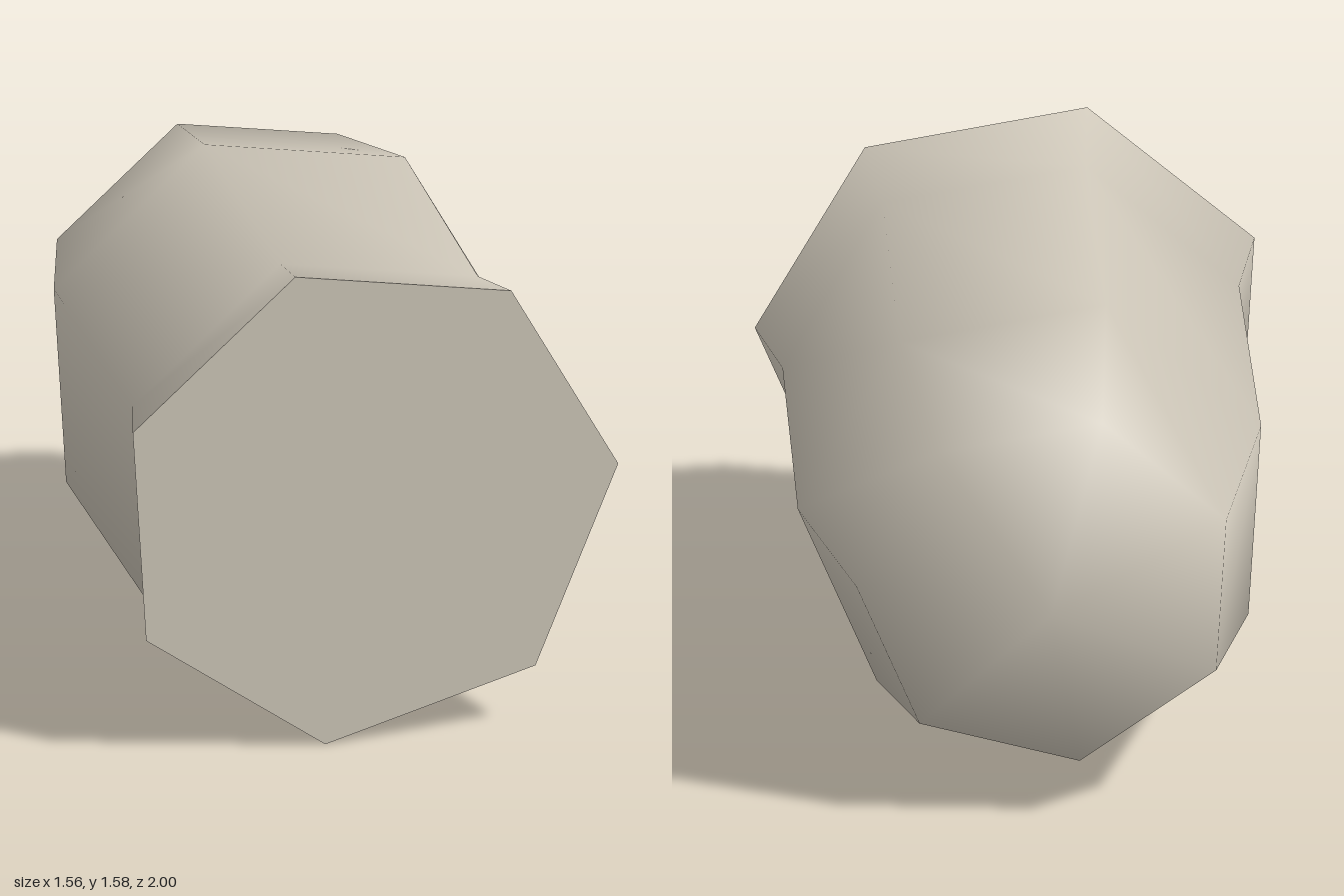
import * as THREE from 'three';
import { mergeVertices } from 'three/addons/utils/BufferGeometryUtils.js';

const SIDES = 7;
const TURN = THREE.MathUtils.degToRad(3.5); // angle of the first corner
const LEAN = 0.0127;                        // slight slant of every ring
const CENTER = [-0.03, 0.831];

// Slant the rings and move the part onto the body axis
function place(geometry) {
  const p = geometry.attributes.position;
  for (let i = 0; i < p.count; i++) p.setZ(i, p.getZ(i) - LEAN * p.getX(i));
  geometry.translate(CENTER[0], CENTER[1], 0);
  geometry.computeVertexNormals();
  return geometry;
}

export function createModel() {
  const group = new THREE.Group();
  group.name = 'flaredCapsule';
  const stone = new THREE.MeshStandardMaterial({ color: 0xcdc6b8 });
  stone.name = 'warm grey';

  // Seven-sided shell: [radius, z] from the back tip to the flared front rim
  const profile = [[0, -1], [0.602, -0.83], [0.754, -0.29], [0.743, 0.71], [0.813, 0.99]]
    .map(([r, z]) => new THREE.Vector2(r, z));
  let shell = new THREE.LatheGeometry(profile, SIDES, TURN + Math.PI / 2, Math.PI * 2);
  shell.rotateX(Math.PI / 2);
  shell.deleteAttribute('normal');
  shell.deleteAttribute('uv');
  shell = mergeVertices(shell, 1e-4); // weld the seam and tip for smooth shading
  const body = new THREE.Mesh(place(shell), stone);
  body.name = 'body';

  // Flat plate closing the front
  const plate = new THREE.CircleGeometry(0.813, SIDES, TURN, Math.PI * 2);
  plate.translate(0, 0, 0.99);
  const cap = new THREE.Mesh(place(plate), stone);
  cap.name = 'frontCap';

  group.add(body, cap);
  return group;
}
